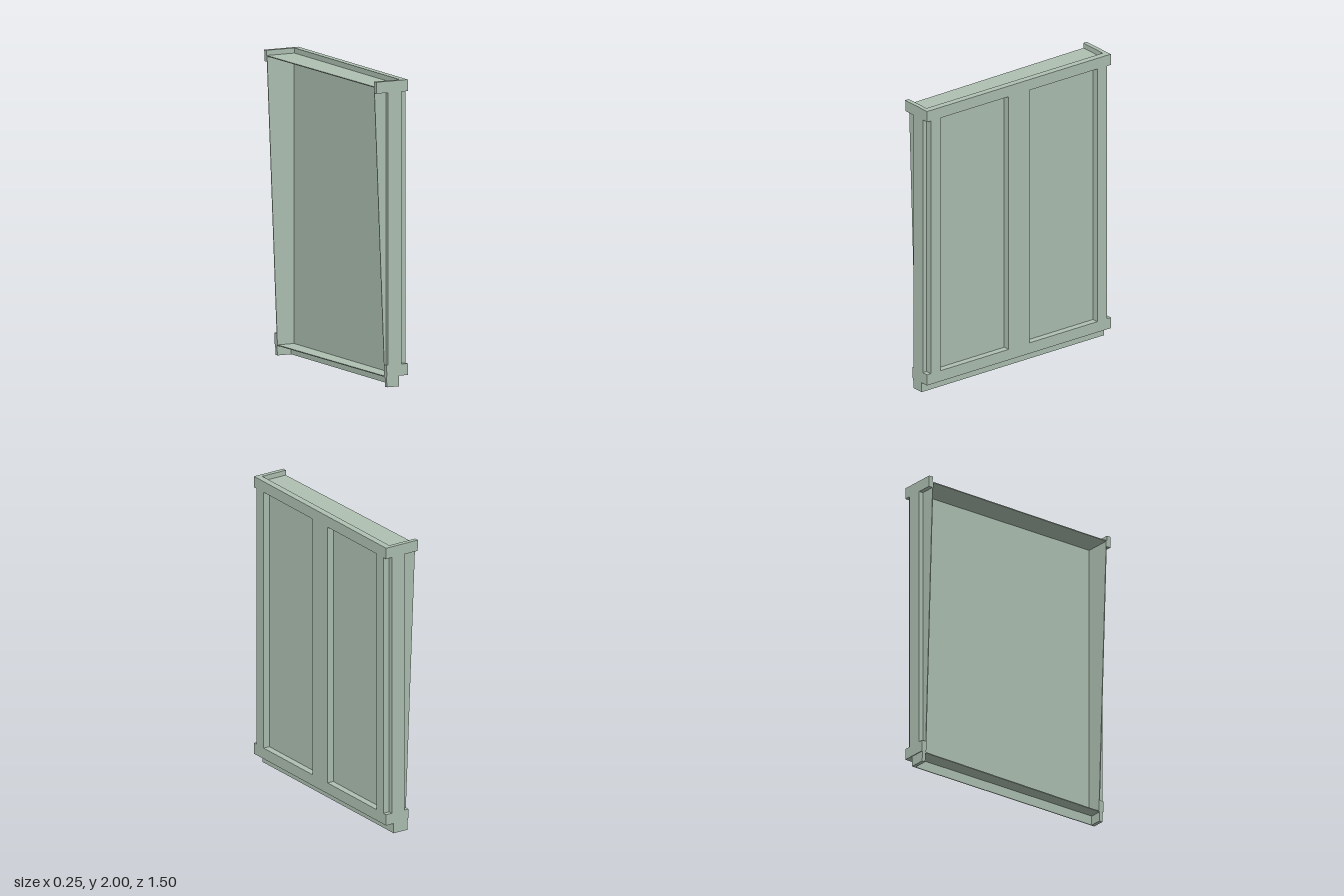
import * as THREE from 'three';

// Rear boundary: leans outward with height and skews slightly along z
const rearEdge = (y, z) => -0.035 - 0.04 * y + 0.0135 * z;

export function createModel() {
  const model = new THREE.Group();
  model.name = 'panelledUnit';
  const paint = new THREE.MeshStandardMaterial({ color: 0xafc1b3 });
  paint.name = 'sage paint';

  // Box between limits; x0 = null snaps the -x side to the leaning rear edge
  function block(name, x0, x1, y0, y1, z0, z1) {
    const left = x0 === null ? -0.1 : x0;
    const geo = new THREE.BoxGeometry(x1 - left, y1 - y0, z1 - z0);
    geo.translate((left + x1) / 2, (y0 + y1) / 2, (z0 + z1) / 2);
    if (x0 === null) {
      const p = geo.attributes.position;
      const mid = (left + x1) / 2;
      for (let i = 0; i < p.count; i++) {
        if (p.getX(i) < mid) p.setX(i, rearEdge(p.getY(i), p.getZ(i)));
      }
      geo.computeVertexNormals();
    }
    const mesh = new THREE.Mesh(geo, paint);
    mesh.name = name;
    model.add(mesh);
  }

  const front = 0.125, inner = 0.08;      // frame faces in x
  const low = 0.145, high = 1.925;        // panel opening in y
  const base = 0.07, wall = 0.72, end = 0.75, sheet = 0.006;

  // Face frame: rails, corner stiles and middle stile
  block('topRail', inner, front, high, 2, -wall, wall);
  block('bottomRail', inner, front, base, low, -wall, wall);
  block('middleStile', inner, front, low, high, -0.085, 0.085);
  for (const s of [-1, 1]) {
    const c = s * (wall + 0.64) / 2;
    block('cornerStile', inner, front, low, high, c - 0.04, c + 0.04);
  }

  // Thin backing sheet seen in both openings
  block('panelSheet', inner - sheet, inner, base, high + 0.04, -wall, wall);

  // Recessed top and floor of the open rear tray
  block('topPlate', null, inner, 1.96, 1.966, -wall, wall);
  block('floorPlate', null, inner, base - sheet, base, -wall, wall);

  // Both ends: thin wall, pilaster, rails and foot plate
  for (const s of [-1, 1]) {
    const span = (a, b) => (s > 0 ? [a, b] : [-b, -a]);
    block('endWall', null, inner, base, high + 0.04, ...span(wall - sheet, wall));
    block('endPilaster', -0.02, inner, low, high, ...span(wall, end));
    block('endTopRail', null, front, high, 2, ...span(wall, end));
    block('endBottomRail', null, front, base, low, ...span(wall, end));
    block('endFoot', null, 0.062, 0, base, ...span(wall, 0.745));
  }

  // Set-back plinth below the bottom rail
  block('plinth', 0.062 - sheet, 0.062, 0, base, -wall, wall);
  return model;
}
